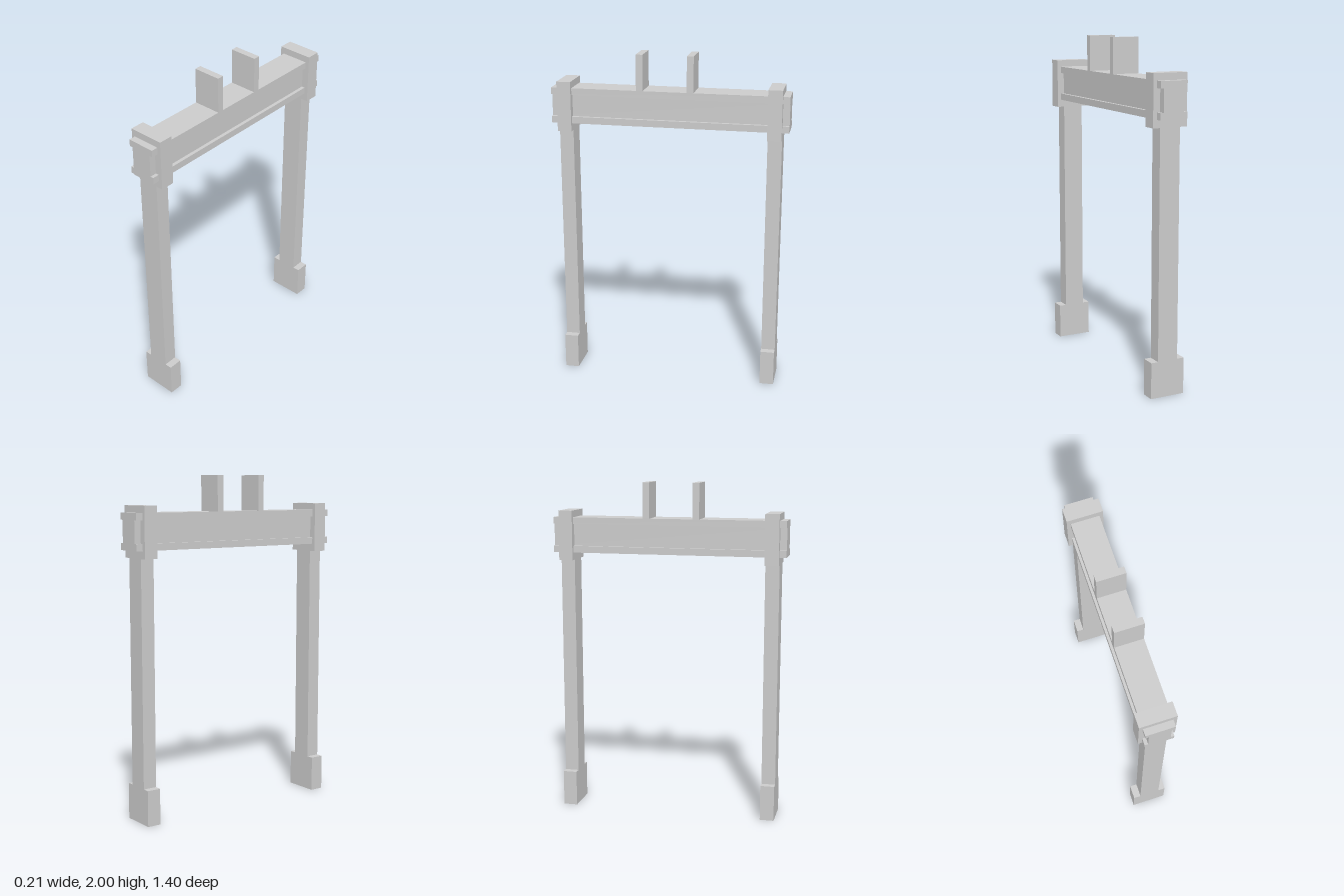
import * as THREE from 'three';

const material = new THREE.MeshStandardMaterial({ color: 0xcccccc, flatShading: true });

// Extrude a left/right symmetric profile, given as [half width, y] from bottom to top, from z0 to z1
function extrudeProfile(name, rightSide, z0, z1) {
  const points = [
    ...rightSide.map(([x, y]) => new THREE.Vector2(x, y)),
    ...[...rightSide].reverse().map(([x, y]) => new THREE.Vector2(-x, y)),
  ];
  const geometry = new THREE.ExtrudeGeometry(new THREE.Shape(points), {
    depth: z1 - z0, bevelEnabled: false,
  });
  geometry.translate(0, 0, z0);
  const mesh = new THREE.Mesh(geometry, material);
  mesh.name = name;
  return mesh;
}

export function createModel() {
  const model = new THREE.Group();
  model.name = 'gateFrame';

  // Posts with a wide foot and a wide head block
  const post = [
    [0.105, 0], [0.105, 0.213], [0.062, 0.213],
    [0.062, 1.535], [0.105, 1.535], [0.105, 1.83],
  ];
  model.add(extrudeProfile('frontPost', post, 0.577, 0.66));
  model.add(extrudeProfile('backPost', post, -0.66, -0.577));

  // I-section crossbeam passing through both heads
  const beam = [
    [0.083, 1.58], [0.083, 1.62], [0.063, 1.62],
    [0.063, 1.75], [0.083, 1.75], [0.083, 1.79],
  ];
  model.add(extrudeProfile('crossbeam', beam, -0.7, 0.7));

  // Two upright plates on top of the beam
  const plate = [[0.083, 1.79], [0.083, 2]];
  model.add(extrudeProfile('frontPlate', plate, 0.15, 0.19));
  model.add(extrudeProfile('backPlate', plate, -0.148, -0.108));

  return model;
}
